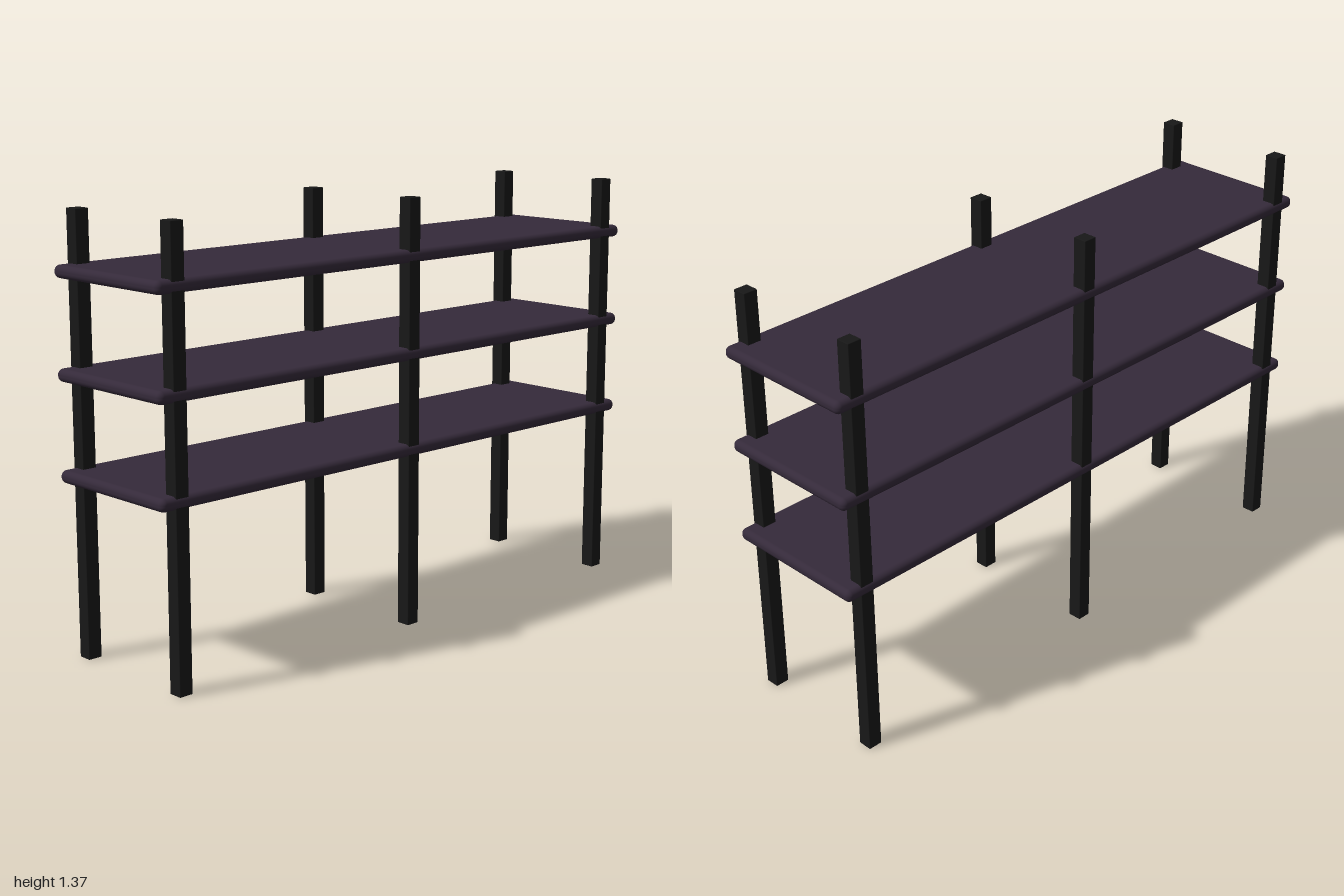
import * as THREE from 'three';
import { RoundedBoxGeometry } from 'three/addons/geometries/RoundedBoxGeometry.js';

const SHELF = { width: 0.494, thickness: 0.04, length: 2, heights: [0.573, 0.879, 1.185] };
const POST = { side: 0.046, height: 1.366, x: 0.22, rows: [-0.925, 0, 0.925] };

export function createModel() {
  const model = new THREE.Group();
  model.name = 'shelvingUnit';

  const shelfMaterial = new THREE.MeshStandardMaterial({ color: 0x352a3a });
  const postMaterial = new THREE.MeshStandardMaterial({ color: 0x181818 });

  // Long boards with fully rounded edges
  const shelfGeometry = new RoundedBoxGeometry(SHELF.width, SHELF.thickness, SHELF.length, 4, 0.018);
  SHELF.heights.forEach((y, i) => {
    const shelf = new THREE.Mesh(shelfGeometry, shelfMaterial);
    shelf.name = `shelf${i + 1}`;
    shelf.position.y = y;
    model.add(shelf);
  });

  // Three pairs of square posts with slightly eased edges
  const postGeometry = new RoundedBoxGeometry(POST.side, POST.height, POST.side, 1, 0.002);
  POST.rows.forEach((z, i) => {
    for (const side of [-1, 1]) {
      const post = new THREE.Mesh(postGeometry, postMaterial);
      post.name = `${side > 0 ? 'left' : 'right'}Post${i + 1}`;
      post.position.set(side * POST.x, POST.height / 2, z);
      model.add(post);
    }
  });

  return model;
}
